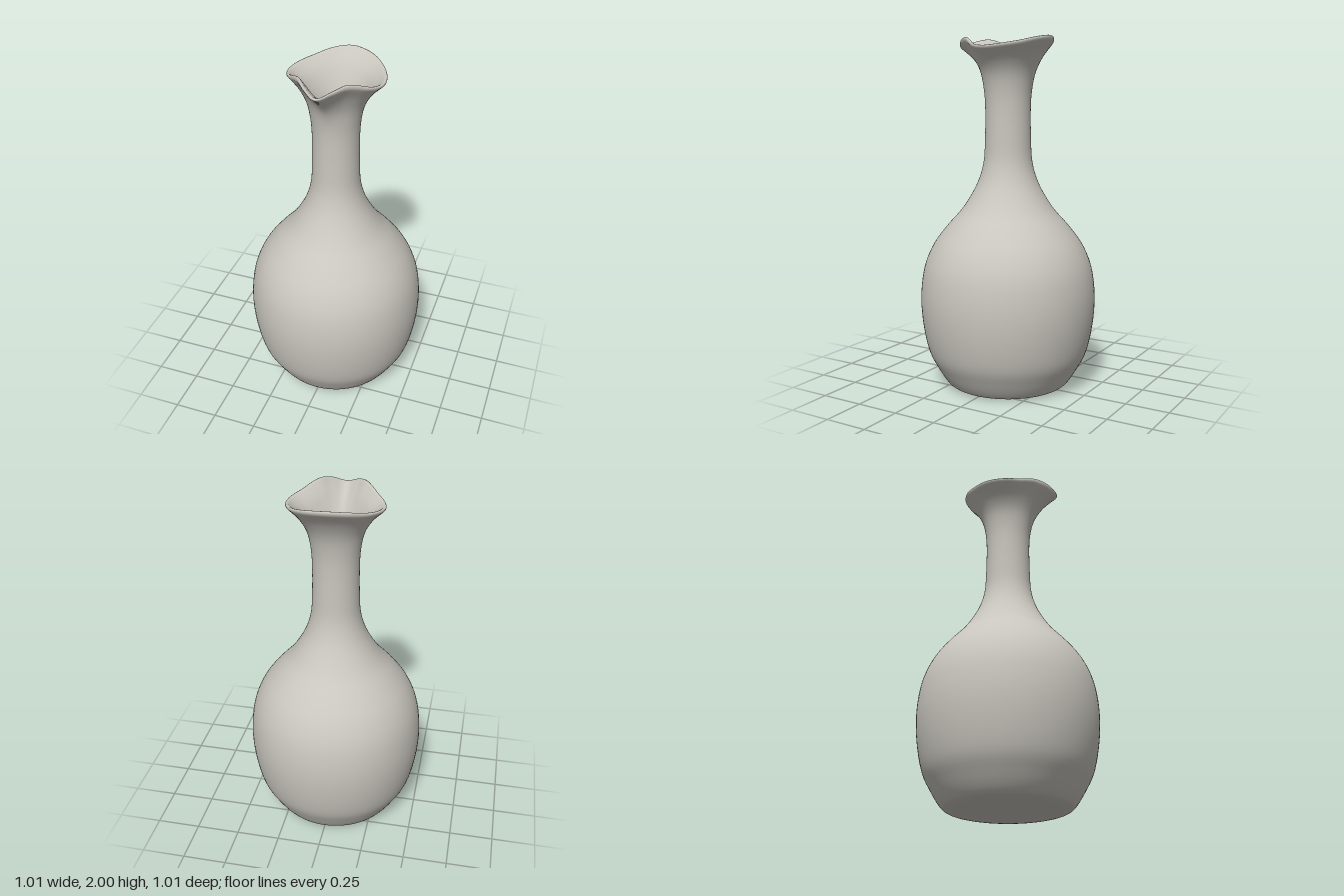
import * as THREE from 'three';
import { mergeVertices } from 'three/addons/utils/BufferGeometryUtils.js';

// Lip outline every 15 degrees, from the spout (+z) towards +x and round the back
const LIP_RADIUS = [0.314, 0.284, 0.248, 0.234, 0.237, 0.254, 0.262, 0.263, 0.262, 0.265, 0.27, 0.273,
  0.275, 0.264, 0.253, 0.247, 0.252, 0.26, 0.263, 0.254, 0.237, 0.234, 0.248, 0.284];
const LIP_HALF_HEIGHT = [1.953, 1.982, 1.997, 1.985, 1.962, 1.946, 1.94, 1.945, 1.954, 1.965, 1.98, 1.992, 1.998];
const LIP_HEIGHT = [...LIP_HALF_HEIGHT, ...LIP_HALF_HEIGHT.slice(1, -1).reverse()];
const BASE_RADIUS = 0.26, BASE_HEIGHT = 1.955;

// Smooth periodic interpolation of a table around the circle
function around(table, angle) {
  const n = table.length;
  const t = ((angle / (2 * Math.PI)) * n + n) % n;
  const i = Math.floor(t), f = t - i;
  const [a, b, c, d] = [-1, 0, 1, 2].map((k) => table[(i + k + n) % n]);
  return b + 0.5 * f * (c - a + f * (2 * a - 5 * b + 4 * c - d + f * (3 * (b - c) + d - a)));
}

const toVectors = (points) => points.map(([r, y]) => new THREE.Vector2(r, y));
const smooth = (points, n) => new THREE.SplineCurve(toVectors(points)).getPoints(n);

function vaseGeometry() {
  const outer = smooth([
    [0.31, 0.002], [0.345, 0.012], [0.375, 0.045], [0.415, 0.11], [0.46, 0.2], [0.49, 0.33], [0.504, 0.47],
    [0.499, 0.6], [0.475, 0.72], [0.425, 0.83], [0.35, 0.93], [0.27, 1.02], [0.21, 1.11], [0.166, 1.2],
    [0.139, 1.3], [0.131, 1.42], [0.129, 1.6], [0.137, 1.71], [0.158, 1.8], [0.2, 1.875], [0.252, 1.932],
  ], 80);
  const lip = toVectors([[0.258, 1.939], [0.26, 1.947], [0.258, 1.953], [0.252, 1.955], [0.245, 1.953]]);
  const inner = smooth([
    [0.236, 1.945], [0.185, 1.89], [0.138, 1.8], [0.115, 1.71], [0.105, 1.6], [0.106, 1.42], [0.115, 1.3],
    [0.142, 1.2], [0.188, 1.1], [0.25, 1.01], [0.33, 0.92], [0.4, 0.82], [0.45, 0.71], [0.475, 0.59],
    [0.479, 0.47], [0.465, 0.33], [0.435, 0.21], [0.38, 0.09], [0.32, 0.04], [0.27, 0.03],
  ], 60);
  const base = toVectors([[0, 0], [0.15, 0], [0.29, 0]]);
  const floor = toVectors([[0.15, 0.03], [0, 0.03]]);

  let geometry = new THREE.LatheGeometry([...base, ...outer, ...lip, ...inner, ...floor], 96);

  // Pull the round mouth into a wavy lip with a pouring spout
  const p = geometry.attributes.position;
  for (let i = 0; i < p.count; i++) {
    const x = p.getX(i), y = p.getY(i), z = p.getZ(i);
    const w = Math.max(0, (y - 1.68) / (BASE_HEIGHT - 1.68)) ** 2;
    if (w === 0) continue;
    const angle = Math.atan2(x, z);
    const s = 1 + w * (around(LIP_RADIUS, angle) / BASE_RADIUS - 1);
    p.setXYZ(i, x * s, y + w * (around(LIP_HEIGHT, angle) - BASE_HEIGHT), z * s);
  }

  // Weld the seam so shading is continuous
  geometry.deleteAttribute('uv');
  geometry.deleteAttribute('normal');
  geometry = mergeVertices(geometry, 1e-5);
  geometry.computeVertexNormals();
  return geometry;
}

export function createModel() {
  const ceramic = new THREE.MeshStandardMaterial({ color: 0xc9c6be });
  ceramic.name = 'warm grey ceramic';

  const vase = new THREE.Mesh(vaseGeometry(), ceramic);
  vase.name = 'vaseBody';

  const model = new THREE.Group();
  model.name = 'spoutedVase';
  model.add(vase);
  return model;
}
